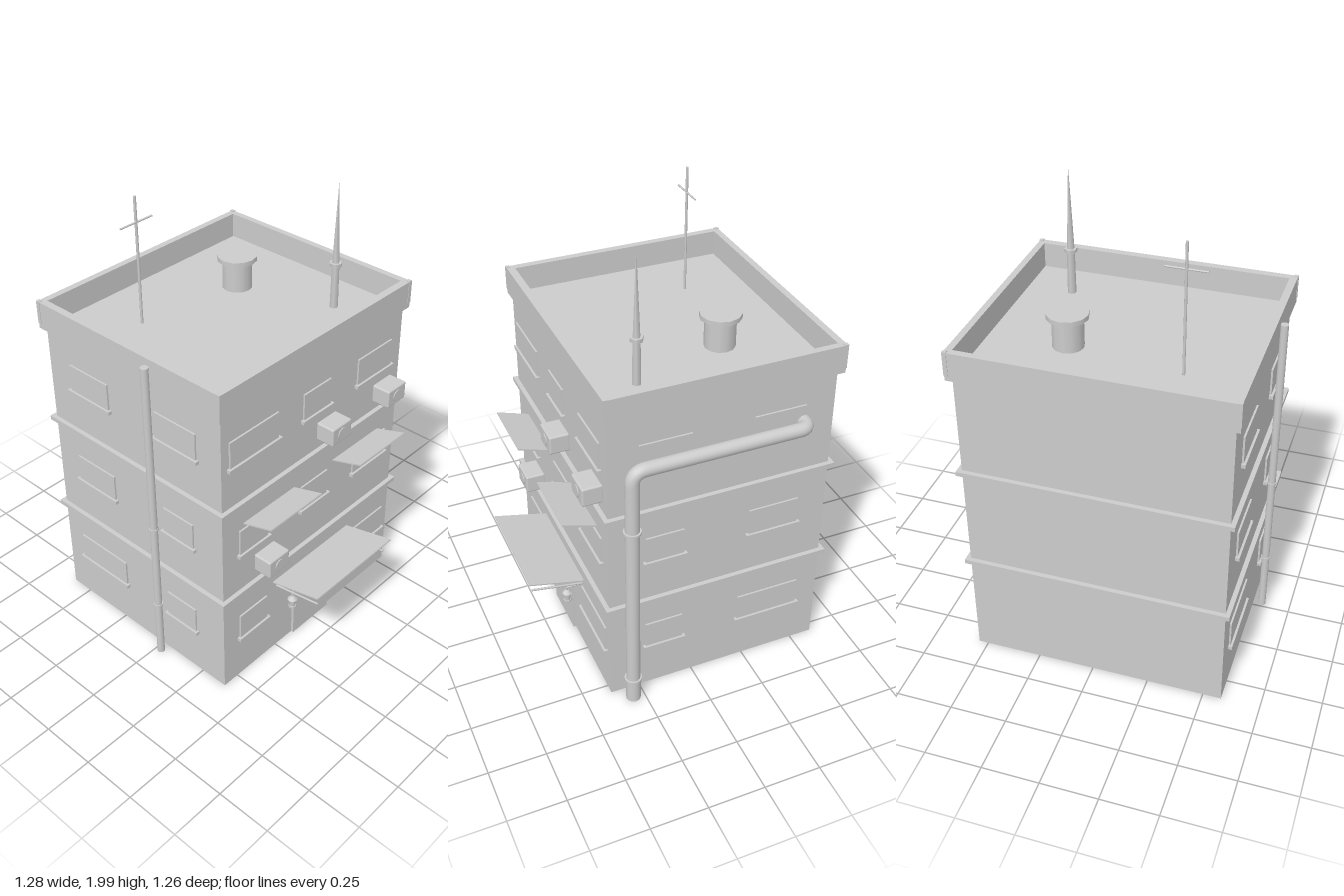
import * as THREE from 'three';
import { RoundedBoxGeometry } from 'three/addons/geometries/RoundedBoxGeometry.js';

export function createModel() {
  const model = new THREE.Group();
  model.name = 'apartmentBlock';
  const plaster = new THREE.MeshStandardMaterial({ color: 0xcccccc });
  plaster.name = 'plasterGrey';

  const add = (name, geometry, parent = model) => {
    const mesh = new THREE.Mesh(geometry, plaster);
    mesh.name = name;
    parent.add(mesh);
    return mesh;
  };
  // Box given by its limits on each axis
  const box = (name, x0, x1, y0, y1, z0, z1, parent) => {
    const mesh = add(name, new THREE.BoxGeometry(x1 - x0, y1 - y0, z1 - z0), parent);
    mesh.position.set((x0 + x1) / 2, (y0 + y1) / 2, (z0 + z1) / 2);
    return mesh;
  };
  // Upright cylinder or cone between two heights
  const post = (name, x, z, y0, y1, rBottom, rTop = rBottom, sides = 12, parent) => {
    const mesh = add(name, new THREE.CylinderGeometry(rTop, rBottom, y1 - y0, sides), parent);
    mesh.position.set(x, (y0 + y1) / 2, z);
    return mesh;
  };
  // Straight thin rod between two points
  const rod = (name, a, b, r, parent) => {
    const p = new THREE.Vector3(...a), q = new THREE.Vector3(...b);
    const dir = q.clone().sub(p);
    const mesh = add(name, new THREE.CylinderGeometry(r, r, dir.length(), 8), parent);
    mesh.position.copy(p).add(q).multiplyScalar(0.5);
    mesh.quaternion.setFromUnitVectors(new THREE.Vector3(0, 1, 0), dir.normalize());
    return mesh;
  };

  // Walls, flat roof and the ledges between floors
  const X0 = -0.58, X1 = 0.543, Z0 = -0.605, Z1 = 0.38;
  box('walls', X0, X1, 0, 1.42, Z0, Z1);
  for (const y of [0.471, 0.941]) {
    box('floorLedge', X0 - 0.02, X1 + 0.02, y + 0.006, y + 0.026, Z0 - 0.02, Z1 + 0.02);
    box('ledgeMoulding', X0 - 0.012, X1 + 0.012, y, y + 0.006, Z0 - 0.012, Z1 + 0.012);
  }

  // Parapet: a rectangular ring around the roof
  const rect = (path, x0, x1, z0, z1) =>
    path.moveTo(x0, -z1).lineTo(x1, -z1).lineTo(x1, -z0).lineTo(x0, -z0).closePath();
  const ring = new THREE.Shape(), hole = new THREE.Path();
  rect(ring, -0.6, 0.565, -0.627, 0.397);
  rect(hole, -0.568, 0.536, -0.597, 0.363);
  ring.holes.push(hole);
  const parapet = add('parapet', new THREE.ExtrudeGeometry(ring, { depth: 0.125, bevelEnabled: false }));
  parapet.rotation.x = -Math.PI / 2;
  parapet.position.y = 1.408;
  for (const x of [-0.593, 0.558]) for (const z of [-0.62, 0.39])
    box('parapetCorner', x - 0.009, x + 0.009, 1.43, 1.536, z - 0.009, z + 0.009);

  // Window: pane plate and a wider sill; built facing +z, centred on x = 0
  const makeWindow = (width, top) => {
    const group = new THREE.Group();
    group.name = 'window';
    const h = width / 2;
    box('windowPane', -h, h, top - 0.122, top, 0, 0.008, group);
    box('windowSill', -h - 0.012, h + 0.012, top - 0.137, top - 0.121, 0, 0.018, group);
    model.add(group);
    return group;
  };
  const tops = [0.347, 0.817, 1.285];
  const frontWindows = [
    [[-0.484, -0.315], [0.214, 0.5]],
    [[-0.484, -0.315], [-0.103, 0.066], [0.246, 0.473]],
    [[-0.537, -0.257], [-0.103, 0.066], [0.246, 0.473]],
  ];
  const sideWindows = [
    [[0.05, 0.22], [-0.505, -0.214]],
    [[0.05, 0.22], [-0.474, -0.246]],
    [[0.024, 0.25], [-0.474, -0.246]],
  ];
  tops.forEach((top, floor) => {
    for (const [a, b] of frontWindows[floor])
      makeWindow(b - a, top).position.set((a + b) / 2, 0, Z1);
    for (const [a, b] of sideWindows[floor]) for (const side of [-1, 1]) {
      const w = makeWindow(b - a, top);
      w.position.set(side > 0 ? X1 : X0, 0, (a + b) / 2);
      w.rotation.y = side * Math.PI / 2;
    }
  });

  // Front door
  box('door', -0.14, 0.1, 0, 0.357, Z1, 0.392);

  // Awnings: thin sheets rising away from the wall
  const awning = (name, x0, x1, yWall, yEdge, zEdge) => {
    const run = zEdge - Z1, rise = yEdge - yWall;
    const mesh = add(name, new THREE.BoxGeometry(x1 - x0, 0.006, Math.hypot(run, rise)));
    mesh.position.set((x0 + x1) / 2, (yWall + yEdge) / 2, Z1 + run / 2);
    mesh.rotation.x = -Math.atan2(rise, run);
  };
  awning('windowAwning', -0.457, -0.146, 0.84, 0.887, 0.527);
  awning('windowAwning', 0.108, 0.42, 0.84, 0.887, 0.527);
  awning('doorAwning', -0.272, 0.236, 0.392, 0.452, 0.627);
  for (const x of [-0.246, 0.207])
    rod('awningSupport', [x, 0.357, Z1], [x, 0.396, 0.61], 0.005);

  // Wall lanterns on short arms
  for (const x of [-0.205, 0.165]) {
    const lantern = new THREE.Group();
    lantern.name = 'lantern';
    model.add(lantern);
    rod('lanternArm', [x, 0.315, Z1], [x, 0.315, 0.437], 0.004, lantern);
    post('lanternHook', x, 0.437, 0.295, 0.318, 0.004, 0.004, 8, lantern);
    post('lanternCap', x, 0.437, 0.286, 0.302, 0.023, 0.008, 8, lantern);
    post('lanternGlass', x, 0.437, 0.25, 0.286, 0.014, 0.017, 8, lantern);
    post('lanternBase', x, 0.437, 0.242, 0.25, 0.018, 0.018, 8, lantern);
  }

  // Air conditioners with a round fan cover
  for (const [x, y] of [[0.053, 1.055], [0.43, 1.055], [-0.328, 0.587]]) {
    const unit = add('airConditioner', new RoundedBoxGeometry(0.123, 0.085, 0.09, 2, 0.008));
    unit.position.set(x, y, 0.42);
    rod('fanCover', [x, y, 0.462], [x, y, 0.469], 0.028);
  }

  // Large bent duct on the left wall, turning into the wall at the back
  const v = (x, y, z) => new THREE.Vector3(x, y, z);
  const px = 0.6, py = 1.21, pz = 0.3;
  const path = new THREE.CurvePath();
  path.add(new THREE.LineCurve3(v(px, 0, pz), v(px, py - 0.06, pz)));
  path.add(new THREE.QuadraticBezierCurve3(v(px, py - 0.06, pz), v(px, py, pz), v(px, py, pz - 0.06)));
  path.add(new THREE.LineCurve3(v(px, py, pz - 0.06), v(px, py, -0.42)));
  path.add(new THREE.QuadraticBezierCurve3(v(px, py, -0.42), v(px, py, -0.465), v(px - 0.045, py, -0.465)));
  path.add(new THREE.LineCurve3(v(px - 0.045, py, -0.465), v(px - 0.08, py, -0.465)));
  add('duct', new THREE.TubeGeometry(path, 160, 0.03, 16));
  post('ductFoot', px, pz, 0, 0.115, 0.032, 0.032, 16);
  for (const y of [0.115, 0.922]) post('ductCollar', px, pz, y - 0.005, y + 0.005, 0.038, 0.038, 16);

  // Thin drainpipe on the right wall
  post('drainpipe', -0.62, 0.025, 0, 1.505, 0.017);
  for (const y of [0.285, 0.712]) post('drainpipeCollar', -0.62, 0.025, y - 0.004, y + 0.004, 0.021);

  // Roof fittings: vent, spire and aerial
  post('ventBody', 0.196, -0.255, 1.42, 1.552, 0.066);
  post('ventCap', 0.196, -0.255, 1.552, 1.573, 0.088);
  post('spireBase', 0.337, 0.17, 1.42, 1.615, 0.019, 0.017, 6);
  post('spireCollar', 0.337, 0.17, 1.613, 1.629, 0.028, 0.028, 6);
  post('spireNeedle', 0.337, 0.17, 1.629, 1.98, 0.016, 0.001, 6);
  post('aerialMast', -0.303, -0.328, 1.42, 1.987, 0.006, 0.006, 8);
  rod('aerialBar', [-0.387, 1.875, -0.328], [-0.218, 1.875, -0.328], 0.004);

  return model;
}
